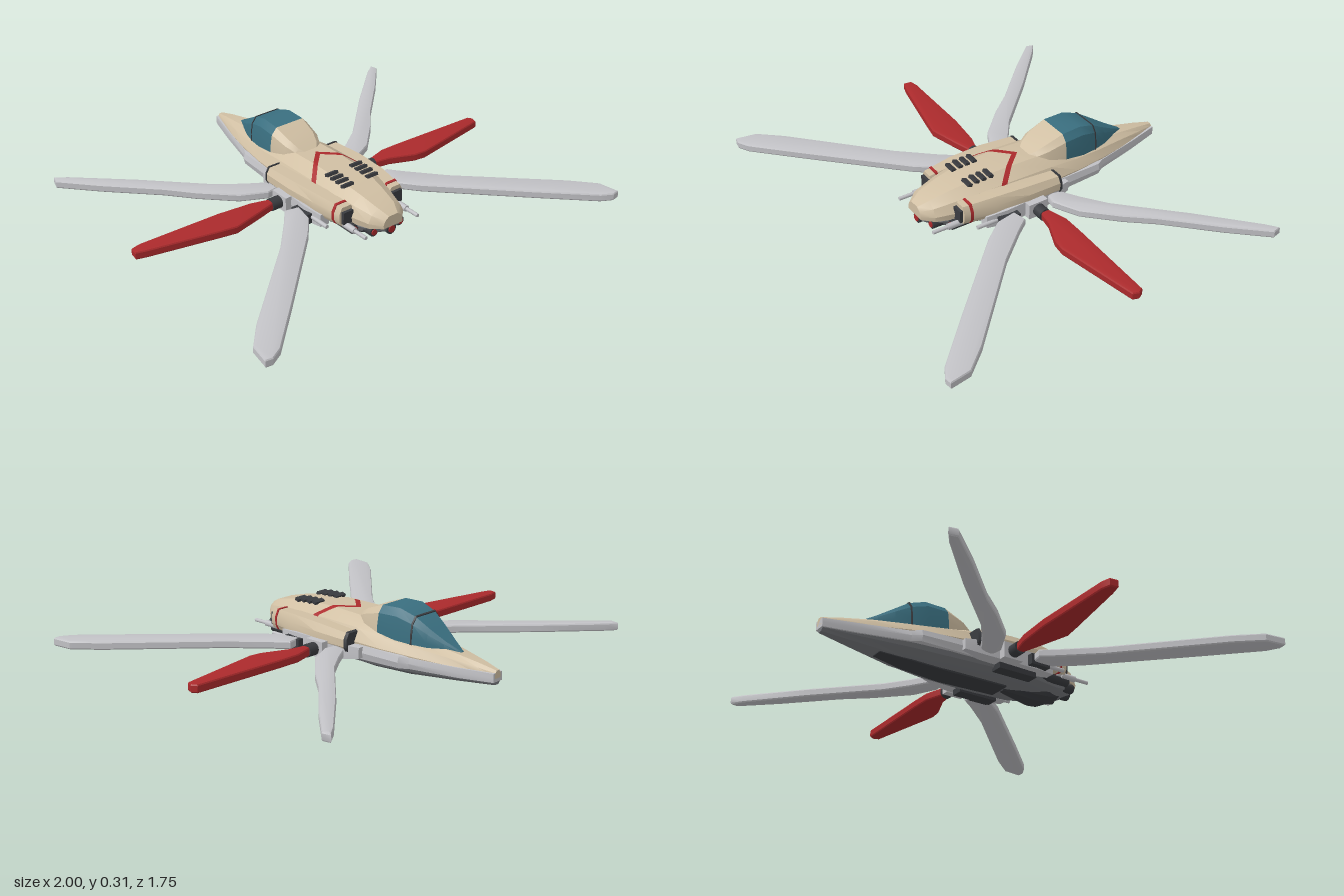
import * as THREE from 'three';
import { toCreasedNormals } from 'three/addons/utils/BufferGeometryUtils.js';

const mat = (name, color, side = THREE.FrontSide) => {
  const m = new THREE.MeshStandardMaterial({ color, side });
  m.name = name;
  return m;
};

// half cross-sections as [x, y] fractions, counterclockwise from lower right
const mirrorRing = half => [...half, ...half.slice().reverse().map(([x, y]) => [-x, y])];
const UPPER = mirrorRing([[0.96, 0], [1, 0.3], [0.82, 0.72], [0.45, 1]]);
const LOWER = mirrorRing([[0.45, 0], [0.85, 0.3], [1, 0.75], [0.95, 1]]);
const CANOPY = mirrorRing([[1, 0], [0.98, 0.45], [0.9, 0.8], [0.66, 1]]);
const POD = mirrorRing([[0.7, 0], [1, 0.25], [1, 0.65], [0.62, 1]]);
const SLAB = mirrorRing([[0.95, 0], [1, 0.5], [0.95, 1]]);

// skin through sections [z, halfWidth, bottom, top, centreX], ordered by rising z
function loft(ring, sections, crease = 0.5) {
  const pos = [], idx = [], n = ring.length, last = (sections.length - 1) * n;
  for (const [z, w, y0, y1, cx = 0] of sections)
    for (const [x, y] of ring) pos.push(cx + x * w, y0 + y * (y1 - y0), z);
  for (let i = 0; i < last; i += n)
    for (let j = 0; j < n; j++) {
      const k = (j + 1) % n;
      idx.push(i + j, i + k, i + n + k, i + j, i + n + k, i + n + j);
    }
  for (let j = 1; j < n - 1; j++) idx.push(0, j + 1, j, last, last + j, last + j + 1);
  const g = new THREE.BufferGeometry();
  g.setAttribute('position', new THREE.Float32BufferAttribute(pos, 3));
  g.setIndex(idx);
  return toCreasedNormals(g, crease);
}

const HULL = [
  [-0.88, 0.02, 0.09, 0.125], [-0.8, 0.045, 0.09, 0.142], [-0.65, 0.085, 0.095, 0.167],
  [-0.5, 0.122, 0.1, 0.187], [-0.35, 0.147, 0.1, 0.207], [-0.2, 0.162, 0.1, 0.232],
  [0, 0.165, 0.1, 0.24], [0.2, 0.155, 0.1, 0.233], [0.3, 0.13, 0.1, 0.215],
  [0.4, 0.1, 0.105, 0.19], [0.45, 0.055, 0.11, 0.165],
];

// height of the upper hull at x, z
function hullTop(x, z) {
  let i = 0;
  while (i < HULL.length - 2 && HULL[i + 1][0] < z) i++;
  const t = (z - HULL[i][0]) / (HULL[i + 1][0] - HULL[i][0]);
  const [w, y0, y1] = [1, 2, 3].map(k => THREE.MathUtils.lerp(HULL[i][k], HULL[i + 1][k], t));
  const f = Math.abs(x) / w;
  const h = f < 0.45 ? 1 : f < 0.82 ? 1 - (f - 0.45) / 0.37 * 0.28 : 0.72 - (f - 0.82) / 0.18 * 0.42;
  return y0 + h * (y1 - y0);
}

// flat blade from an outline of [x, z] points
function blade(points) {
  const shape = new THREE.Shape(points.map(([x, z]) => new THREE.Vector2(x, -z)));
  const g = new THREE.ExtrudeGeometry(shape, {
    depth: 0.026, bevelThickness: 0.008, bevelSize: 0.012, bevelOffset: -0.012, bevelSegments: 2,
  });
  return toCreasedNormals(g.rotateX(-Math.PI / 2).translate(0, 0.08, 0), 0.5);
}

const FRONT_BLADE = [[0.19, -0.13], [0.22, -0.2], [0.3, -0.25], [0.41, -0.33], [0.54, -0.46], [0.67, -0.59],
  [0.91, -0.81], [0.965, -0.85], [0.975, -0.81], [0.83, -0.65], [0.62, -0.44], [0.52, -0.32], [0.38, -0.18], [0.26, -0.12]];
const REAR_BLADE = [[0.23, 0.07], [0.3, 0.055], [0.35, 0.12], [0.49, 0.28], [0.89, 0.66], [0.985, 0.77],
  [1, 0.87], [0.965, 0.875], [0.91, 0.845], [0.7, 0.64], [0.33, 0.27], [0.25, 0.17]];
const RED_LEFT = [[0.28, -0.065], [0.4, -0.1], [0.5, -0.1], [0.96, -0.085], [0.975, -0.06], [0.965, -0.03],
  [0.56, 0.042], [0.5, 0.035], [0.38, -0.015], [0.29, -0.03]];
const RED_RIGHT = [[-0.28, -0.06], [-0.38, -0.09], [-0.55, -0.108], [-0.95, -0.115], [-0.995, -0.105], [-1, -0.065],
  [-0.95, -0.05], [-0.62, 0.02], [-0.54, 0.035], [-0.4, 0], [-0.29, -0.03]];

export function createModel() {
  const cream = mat('cream paint', 0xd0bfa3);
  const glass = mat('teal glass', 0x3a6f80);
  const light = mat('light grey metal', 0xc2c2c6);
  const grey = mat('mid grey metal', 0x77797d);
  const dark = mat('dark metal', 0x3a3c40);
  const red = mat('red paint', 0xab2a2c, THREE.DoubleSide);

  const model = new THREE.Group();
  const add = (name, geometry, material, x = 0, y = 0, z = 0) => {
    const m = new THREE.Mesh(geometry, material);
    m.name = name;
    m.position.set(x, y, z);
    model.add(m);
    return m;
  };
  const box = (name, material, w, h, d, x, y, z) => add(name, new THREE.BoxGeometry(w, h, d), material, x, y, z);
  const rod = (name, material, r, length, x, y, z, sides = 12) =>
    add(name, new THREE.CylinderGeometry(r, r, length, sides).rotateX(Math.PI / 2), material, x, y, z);

  // hull shells
  add('upperHull', loft(UPPER, HULL), cream);
  add('hullRim', loft(SLAB, [[-0.88, 0.03, 0.075, 0.115], [-0.72, 0.075, 0.07, 0.115], [-0.5, 0.132, 0.07, 0.12],
    [-0.46, 0.158, 0.07, 0.125], [-0.25, 0.168, 0.065, 0.13], [-0.15, 0.165, 0.065, 0.13]]), light);
  add('lowerHull', loft(LOWER, [[-0.875, 0.026, 0.06, 0.1], [-0.7, 0.075, 0.043, 0.1], [-0.5, 0.125, 0.026, 0.11],
    [-0.3, 0.155, 0.018, 0.11], [0, 0.175, 0.022, 0.11], [0.18, 0.16, 0.025, 0.11], [0.3, 0.125, 0.035, 0.11],
    [0.38, 0.1, 0.055, 0.115], [0.43, 0.06, 0.08, 0.115]]), grey);
  add('bellyPanel', loft(SLAB, [[-0.6, 0.03, 0.03, 0.05], [-0.45, 0.055, 0.018, 0.05],
    [-0.25, 0.065, 0.01, 0.05], [0.05, 0.06, 0.016, 0.05]]), dark);
  add('bellyKeel', loft(LOWER, [[0.06, 0.03, 0.018, 0.06], [0.24, 0.08, 0, 0.06], [0.28, 0.08, 0.005, 0.06],
    [0.36, 0.05, 0.04, 0.07]]), dark);

  // canopy
  const mid = [-0.3, 0.115, 0.15, 0.308];
  add('canopyGlass', loft(CANOPY, [[-0.69, 0.01, 0.14, 0.163], [-0.62, 0.045, 0.14, 0.2], [-0.55, 0.075, 0.14, 0.243],
    [-0.48, 0.096, 0.14, 0.287], [-0.4, 0.11, 0.15, 0.312], mid]), glass);
  add('canopyFairing', loft(CANOPY, [mid, [-0.21, 0.104, 0.16, 0.275], [-0.16, 0.08, 0.17, 0.247],
    [-0.135, 0.05, 0.18, 0.232]]), cream);
  add('canopyFrame', loft(CANOPY, [[-0.484, 0.097, 0.14, 0.289], [-0.477, 0.099, 0.14, 0.292]]), dark);

  // red chevron following the hull
  const pos = [], idx = [];
  for (let i = 0; i <= 24; i++) {
    const x = -0.144 + 0.012 * i, z = -0.1 + Math.abs(x) * 1.05;
    for (const zz of [z, z + 0.032]) pos.push(x, hullTop(x, zz) + 0.004, zz);
    if (i < 24) idx.push(2 * i, 2 * i + 1, 2 * i + 2, 2 * i + 1, 2 * i + 3, 2 * i + 2);
  }
  const chevron = new THREE.BufferGeometry();
  chevron.setAttribute('position', new THREE.Float32BufferAttribute(pos, 3));
  chevron.setIndex(idx);
  chevron.computeVertexNormals();
  add('chevron', chevron, red);

  for (const s of [1, -1]) {
    const side = s > 0 ? 'left' : 'right';

    // shoulder pods with stripe and engine end
    add(side + 'Pod', loft(POD, [[-0.2, 0.045, 0.1, 0.182, s * 0.168], [-0.02, 0.053, 0.095, 0.195, s * 0.167],
      [0.15, 0.05, 0.095, 0.198, s * 0.158], [0.3, 0.04, 0.1, 0.19, s * 0.142]]), cream);
    add(side + 'PodFrontSeal', loft(POD, [[-0.208, 0.044, 0.095, 0.183, s * 0.168],
      [-0.195, 0.049, 0.095, 0.188, s * 0.168]]), dark);
    add(side + 'PodStripe', loft(POD, [[0.257, 0.0445, 0.098, 0.196, s * 0.147],
      [0.27, 0.0435, 0.098, 0.195, s * 0.1455]]), red);
    box(side + 'PodExhaust', dark, 0.055, 0.06, 0.02, s * 0.142, 0.14, 0.305);

    // grey mounting sponson and blade hub
    add(side + 'Sponson', loft(SLAB, [[-0.26, 0.018, 0.075, 0.125, s * 0.17], [-0.17, 0.032, 0.06, 0.13, s * 0.18],
      [0.1, 0.04, 0.055, 0.13, s * 0.188], [0.2, 0.025, 0.06, 0.12, s * 0.185]]), light);
    const hub = rod(side + 'BladeHub', dark, 0.03, 0.13, s * 0.24, 0.092, -0.048, 16);
    hub.rotation.y = Math.PI / 2;
    box(side + 'HubCollar', light, 0.035, 0.075, 0.1, s * 0.235, 0.092, -0.048);
    box(side + 'RearBladeMount', dark, 0.07, 0.05, 0.1, s * 0.22, 0.085, 0.1);
    box(side + 'UnderMount', dark, 0.06, 0.04, 0.2, s * 0.16, 0.05, 0.02);

    // diagonal blades
    const flip = pts => pts.map(([x, z]) => [s * x, z]);
    add(side + 'FrontBlade', blade(flip(FRONT_BLADE)), light);
    add(side + 'RearBlade', blade(flip(REAR_BLADE)), light);
    add(side + 'RedBlade', blade(s > 0 ? RED_LEFT : RED_RIGHT), red);

    // vent slats on the rear deck
    for (let i = 0; i < 4; i++) {
      const z = 0.105 + i * 0.037;
      box(side + 'VentSlat', dark, 0.06, 0.014, 0.022, s * 0.07, hullTop(0.07, z) + 0.005, z).rotation.x = -0.35;
    }

    // rear-pointing barrels and side exhausts
    rod(side + 'LongBarrel', light, 0.009, 0.18, s * 0.15, 0.1, 0.355, 8);
    rod(side + 'BarrelSleeve', light, 0.015, 0.08, s * 0.15, 0.1, 0.33, 8);
    rod(side + 'ShortBarrel', light, 0.01, 0.13, s * 0.215, 0.09, 0.19, 8);
    for (const [x, end] of [[0.075, 0.41], [0.13, 0.34]]) {
      rod(side + 'ExhaustPipe', dark, 0.023, 0.15, s * x, 0.085, end - 0.075);
      rod(side + 'ExhaustGlow', red, 0.015, 0.006, s * x, 0.085, end + 0.002);
    }
  }

  // centre exhaust
  rod('centreExhaustPipe', dark, 0.027, 0.15, 0, 0.088, 0.365);
  rod('centreExhaustGlow', red, 0.018, 0.006, 0, 0.088, 0.442);
  return model;
}
